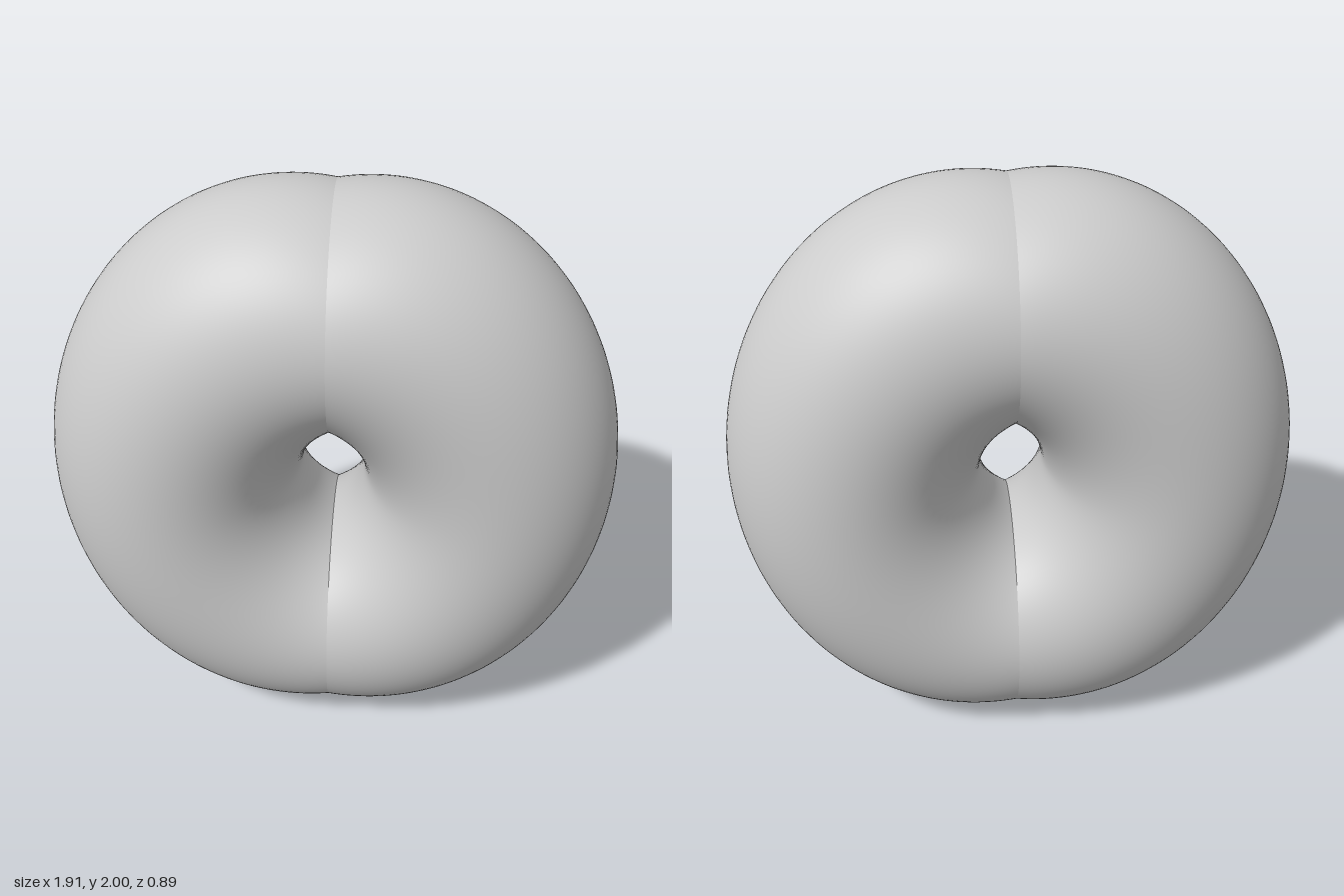
import * as THREE from 'three';
import { ParametricGeometry } from 'three/addons/geometries/ParametricGeometry.js';

// Outer rim: distance from the middle to an ellipse centred at (0.13, 0)
function outerRadius(a) {
  const cx = 0.13, rx = 0.825, c = Math.cos(a), s = Math.sin(a);
  const A = (c * c) / (rx * rx) + s * s;
  const B = (-2 * cx * c) / (rx * rx);
  const C = (cx * cx) / (rx * rx) - 1;
  return (-B + Math.sqrt(B * B - 4 * A * C)) / (2 * A);
}

// Half ring: oval sections swept from the bottom seam to the top seam
function halfRingPoint(u, v, target) {
  const a = (u - 0.5) * Math.PI;
  const phi = v * Math.PI * 2;
  const pinch = Math.pow(Math.abs(u - 0.5) * 2, 2.7); // 1 at the seams
  const inner = 0.105 + 0.105 * pinch;
  const outer = outerRadius(a);
  const depth = 0.443 - 0.018 * pinch;
  const r = (outer + inner) / 2 + ((outer - inner) / 2) * Math.cos(phi);
  target.set(r * Math.cos(a), 1 + r * Math.sin(a), depth * Math.sin(phi));
}

export function createModel() {
  const group = new THREE.Group();
  group.name = 'pinchedRing';
  const material = new THREE.MeshStandardMaterial({ color: 0xcccccc });
  const geometry = new ParametricGeometry(halfRingPoint, 128, 96);

  // The two halves meet in a crease on x = 0
  ['leftHalf', 'rightHalf'].forEach((name, i) => {
    const half = new THREE.Mesh(geometry, material);
    half.name = name;
    half.rotation.y = i * Math.PI;
    group.add(half);
  });
  return group;
}
